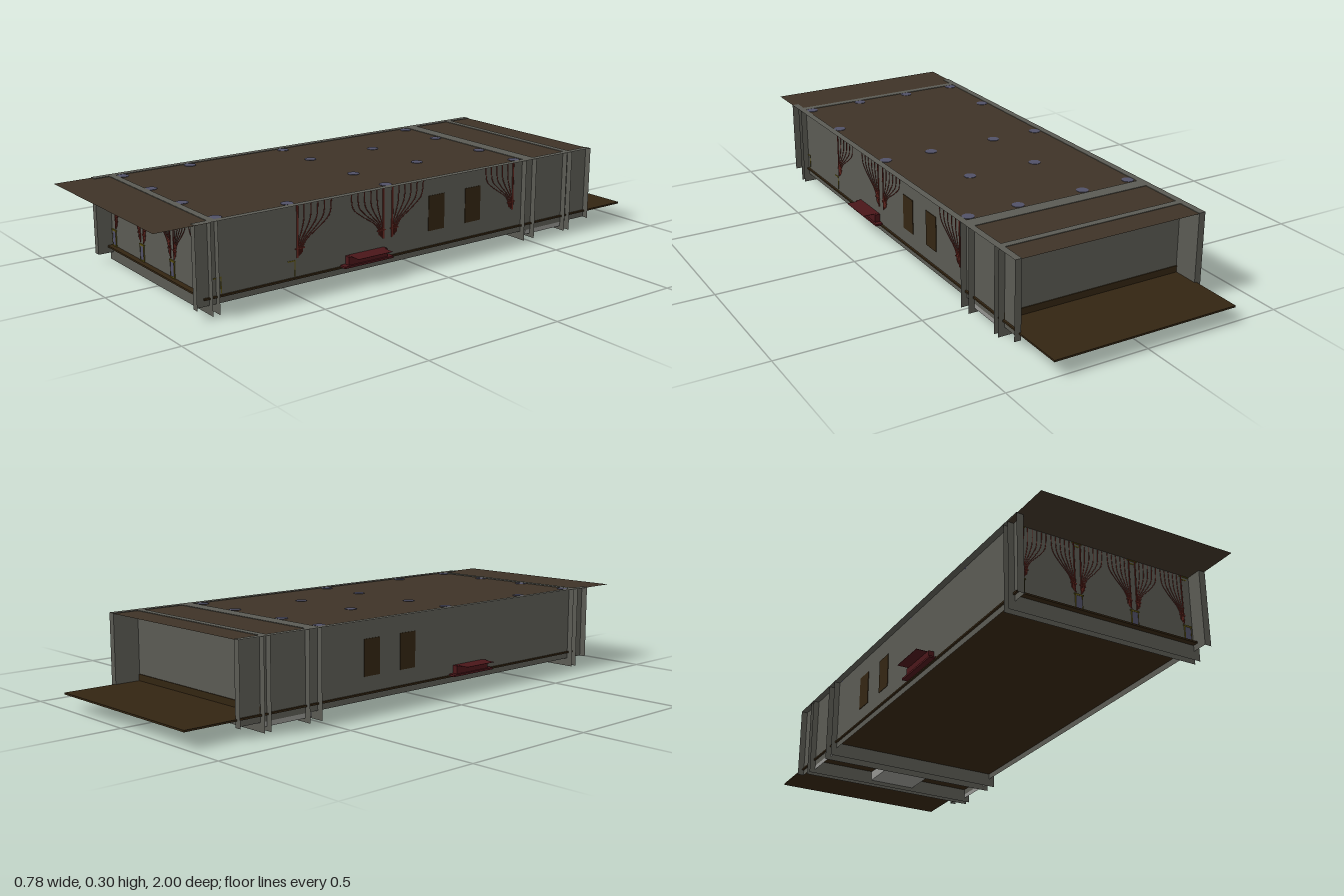
import * as THREE from 'three';

const mat = (color) => new THREE.MeshStandardMaterial({ color, side: THREE.DoubleSide, roughness: 0.9 });
const stone = mat(0x5a5a53), pale = mat(0x92928e), roofBrown = mat(0x3e3327), floorBrown = mat(0x332512);
const red = mat(0x5c221b), maroon = mat(0x4a1619), blue = mat(0x505066), gold = mat(0x5e5414);

export function createModel() {
  const model = new THREE.Group();

  function add(name, geometry, material, x, y, z, parent) {
    const mesh = new THREE.Mesh(geometry, material);
    mesh.position.set(x, y, z);
    mesh.name = name;
    parent.add(mesh);
    return mesh;
  }

  // Box given by its min and max corners; a zero extent gives a single sheet
  function box(name, material, x0, x1, y0, y1, z0, z1, parent = model) {
    const w = x1 - x0, h = y1 - y0, d = z1 - z0;
    let geometry;
    if (w === 0) geometry = new THREE.PlaneGeometry(d, h).rotateY(Math.PI / 2);
    else if (h === 0) geometry = new THREE.PlaneGeometry(w, d).rotateX(-Math.PI / 2);
    else if (d === 0) geometry = new THREE.PlaneGeometry(w, h);
    else geometry = new THREE.BoxGeometry(w, h, d);
    return add(name, geometry, material, (x0 + x1) / 2, (y0 + y1) / 2, (z0 + z1) / 2, parent);
  }

  // Floor and roof, each overhanging one end
  box('floor', floorBrown, -0.337, 0.337, 0.051, 0.057, -1, 0.83);
  box('roof', roofBrown, -0.33, 0.33, 0.298, 0.298, -0.81, 0.81);
  box('frontCanopy', roofBrown, -0.352, 0.352, 0.298, 0.298, 0.81, 1);
  box('backSkirting', floorBrown, -0.33, 0.33, 0.057, 0.08, -0.718, -0.715);

  // Cross walls: two sheets and a cap, with edges standing out past the side walls as fins
  for (const [name, z0, z1] of [['frontWall', 0.785, 0.81], ['rearHallWall', -0.535, -0.485], ['backWall', -0.715, -0.69]]) {
    const wall = new THREE.Group();
    wall.name = name;
    model.add(wall);
    for (const z of [z0, z1]) box('wallSheet', stone, -0.352, 0.352, 0, 0.3, z, z, wall);
    box('wallCap', stone, -0.33, 0.33, 0.3, 0.3, z0, z1, wall);
  }
  // Low threshold under the rear passage
  box('threshold', pale, -0.09, 0.09, 0.015, 0.05, -0.69, -0.535);

  // Side walls with caps, end fins, doors and ledges
  for (const s of [-1, 1]) {
    const side = new THREE.Group();
    side.name = s > 0 ? 'leftSide' : 'rightSide';
    model.add(side);
    const part = (name, m, a, b, ...r) => box(name, m, Math.min(s * a, s * b), Math.max(s * a, s * b), ...r, side);
    part('sideWall', stone, 0.33, 0.33, 0.03, 0.3, -0.81, 0.865);
    part('sideCap', stone, 0.33, 0.354, 0.3, 0.3, -0.81, 0.865);
    for (const z of [-0.81, 0.865]) part('endFin', stone, 0.33, 0.354, 0.03, 0.3, z, z);
    part('floorEdge', floorBrown, 0.325, 0.3315, 0.052, 0.057, -0.81, 0.83);
    part('footRail', pale, 0.33, 0.33, 0.014, 0.03, -0.71, -0.51);
    for (const z of [-0.085, -0.25]) part('door', floorBrown, 0.328, 0.332, 0.11, 0.235, z - 0.035, z + 0.035);
    part('ledgeBase', maroon, 0.33, 0.357, 0.055, 0.062, 0.12, 0.32);
    part('ledgeBody', maroon, 0.33, 0.35, 0.062, 0.09, 0.14, 0.3);
    part('ledgeTop', maroon, 0.33, 0.39, 0.0895, 0.0905, 0.15, 0.29);
  }

  // Columns with pedestal, shaft and capital; the disc shows at roof level
  const pairs = [[0.31, -0.46], [0.125, -0.46], [0.13, -0.16], [0.13, 0.12], [0.31, 0.12],
    [0.31, 0.51], [0.31, 0.77], [0.104, 0.77]];
  for (const [px, z] of pairs) for (const s of [-1, 1]) {
    const column = new THREE.Group();
    column.name = 'column';
    column.position.set(s * px, 0, z);
    model.add(column);
    const round = (name, m, r, y0, y1) =>
      add(name, new THREE.CylinderGeometry(r, r, y1 - y0, 16), m, 0, (y0 + y1) / 2, 0, column);
    round('shaft', blue, 0.01, 0.11, 0.29);
    round('capital', gold, 0.018, 0.285, 0.296);
    round('columnTop', blue, 0.021, 0.295, 0.2995);
    // Front-row pedestals stand through the front wall
    const front = z > 0.7, d = front ? 0.043 : 0.012;
    box('pedestal', blue, -0.011, 0.011, 0.06, 0.11, -0.012, d, column);
    for (const [w, y0, y1] of [[0.014, 0.057, 0.061], [0.014, 0.11, 0.113], [0.017, 0.113, 0.116]])
      box('pedestalMoulding', gold, -w, w, y0, y1, -w, d + 0.001, column);
    for (const e of [-1, 1]) box('pedestalTrim', gold, e * 0.012 - 0.001, e * 0.012 + 0.001, 0.06, 0.11, -0.012, d + 0.001, column);
    if (front) {
      box('capitalSlab', gold, -0.018, 0.018, 0.293, 0.2965, 0, 0.042, column);
      box('capitalNeck', gold, -0.009, 0.009, 0.282, 0.286, 0, 0.041, column);
    }
  }

  // Half fan of ribs, spreading towards local +x or -x
  function halfFan(parent, cx, dir) {
    const fan = new THREE.Group();
    fan.name = 'ribFan';
    fan.position.x = cx;
    parent.add(fan);
    for (let i = 0; i < 6; i++) {
      const foot = dir * (0.011 + i * 0.0025), top = dir * (0.012 + i * 0.0165);
      const at = (t, y) => new THREE.Vector3(foot + (top - foot) * t, y, 0);
      const path = new THREE.CatmullRomCurve3(
        [at(0, 0.12 + i * 0.003), at(0, 0.15), at(0.14, 0.175), at(0.62, 0.212), at(0.92, 0.242), at(1, 0.296)]);
      add('rib', new THREE.TubeGeometry(path, 24, i ? 0.0012 : 0.0024, 6), red, 0, 0, 0, fan);
    }
    const mid = dir * 0.017;
    box('ribCollar', red, mid - 0.011, mid + 0.011, 0.148, 0.152, -0.002, 0.002, fan);
  }

  // Fans on the front wall
  const frontFans = new THREE.Group();
  frontFans.name = 'frontFans';
  frontFans.position.z = 0.8105;
  model.add(frontFans);
  for (const [x, d] of [[-0.31, 1], [-0.104, -1], [-0.104, 1], [0.104, -1], [0.104, 1], [0.31, -1]])
    halfFan(frontFans, x, d);

  // Fans on the left wall, with local x running backwards
  const sideFans = new THREE.Group();
  sideFans.name = 'sideFans';
  sideFans.position.x = 0.3305;
  sideFans.rotation.y = Math.PI / 2;
  model.add(sideFans);
  for (const [z, d] of [[0.505, 1], [0.125, -1], [0.125, 1], [-0.46, -1]]) {
    const span = new THREE.Group();
    span.name = 'wallFan';
    span.position.x = -z;
    span.scale.x = 1.6;
    sideFans.add(span);
    halfFan(span, 0, d);
  }
  // Pedestal trims showing on the left wall
  for (const z of [0.51, 0.78]) {
    box('wallPedestalTrim', gold, 0.325, 0.3315, 0.06, 0.115, z - 0.014, z - 0.011);
    box('wallPedestalCap', gold, 0.325, 0.3315, 0.11, 0.114, z - 0.014, z + 0.014);
  }
  return model;
}
